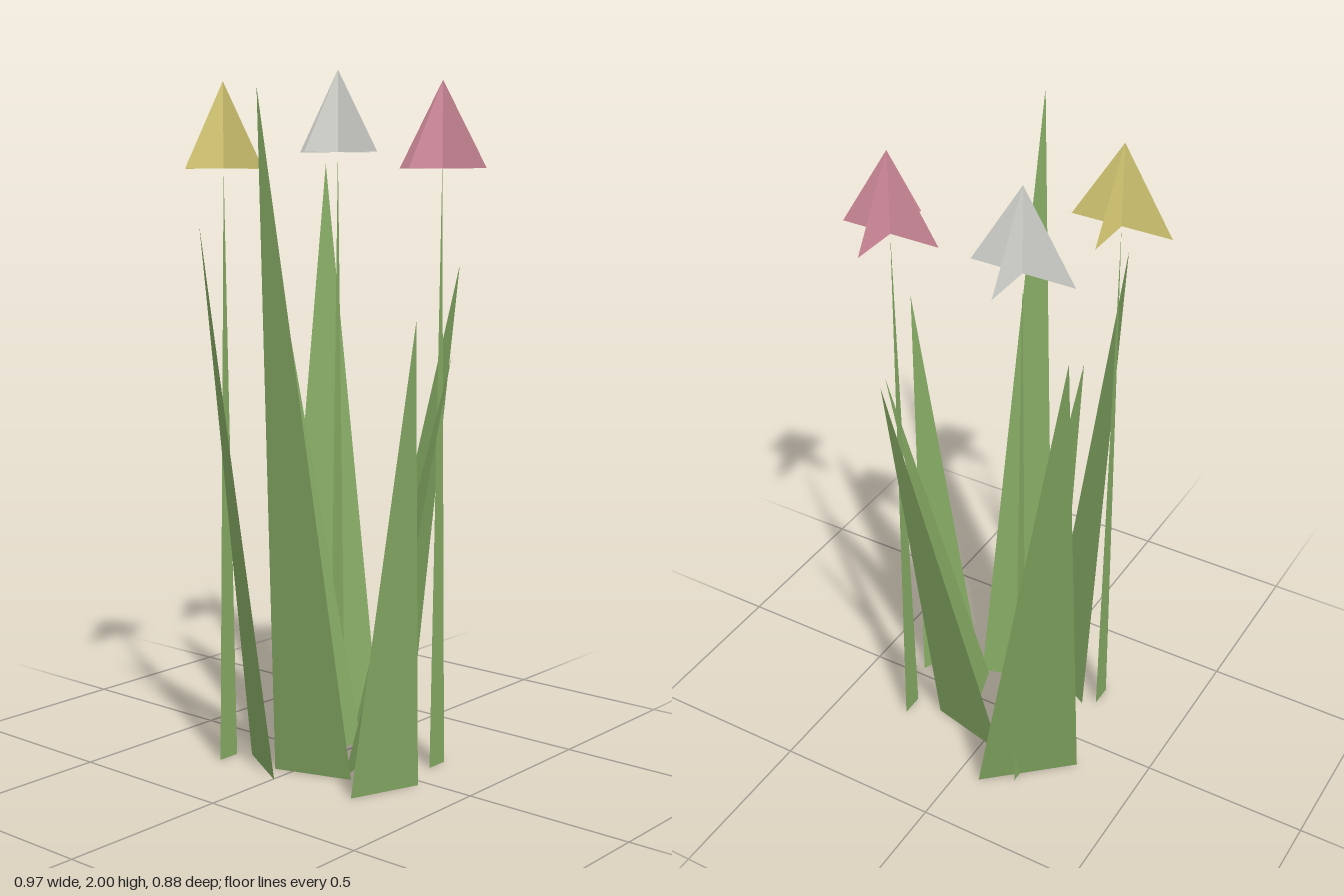
import * as THREE from 'three';

const paint = (name, color) => {
  const m = new THREE.MeshStandardMaterial({ color, side: THREE.DoubleSide, flatShading: true });
  m.name = name;
  return m;
};

// One flat triangle from three corners
function triangle(name, a, b, c, material) {
  const geometry = new THREE.BufferGeometry();
  geometry.setAttribute('position', new THREE.Float32BufferAttribute([...a, ...b, ...c], 3));
  geometry.computeVertexNormals();
  const mesh = new THREE.Mesh(geometry, material);
  mesh.name = name;
  return mesh;
}

export function createModel() {
  const model = new THREE.Group();
  model.name = 'tulipClump';

  const green = paint('leafGreen', 0x83a762);
  const yellow = paint('petalYellow', 0xe4d67c);
  const pink = paint('petalPink', 0xe094a6);
  const white = paint('petalWhite', 0xe3e4de);

  // Leaning leaves: two ground corners [x, z] and a tip [x, y, z]
  const leaves = [
    [[0.10, -0.30], [0.307, -0.07], [0.483, 1.73, -0.44]],
    [[-0.15, -0.09], [0.147, -0.01], [0.057, 1.435, -0.26]],
    [[-0.145, -0.187], [-0.258, 0.005], [-0.345, 1.555, -0.182]],
    [[-0.19, -0.053], [-0.118, 0.171], [-0.484, 1.91, 0.165]],
    [[-0.117, 0.146], [0.133, 0.07], [0.083, 1.20, 0.36]],
    [[0.174, -0.066], [0.112, 0.19], [0.413, 1.43, 0.143]],
    [[-0.229, 0.263], [-0.028, 0.34], [-0.18, 1.315, 0.44]],
  ];
  for (const [p, q, tip] of leaves) {
    model.add(triangle('leaf', [p[0], 0, p[1]], [q[0], 0, q[1]], tip, green));
  }

  // Flowers: a tapering flat stem and two crossed upright petals
  const flowers = [
    [-0.205, 1.71, -0.224, yellow],
    [0.138, 1.71, 0.281, pink],
    [0.22, 1.76, -0.166, white],
  ];
  const petalHalf = 0.15, petalHeight = 0.24, stemHalf = 0.035;
  for (const [x, y, z, colour] of flowers) {
    const flower = new THREE.Group();
    flower.name = 'flower';
    flower.position.set(x, 0, z);
    flower.add(triangle('stem', [-stemHalf, 0, 0], [stemHalf, 0, 0], [0, y, 0], green));
    for (const turn of [0, Math.PI / 2]) {
      const petal = triangle('petal', [-petalHalf, y, 0], [petalHalf, y, 0], [0, y + petalHeight, 0], colour);
      petal.rotation.y = turn;
      flower.add(petal);
    }
    model.add(flower);
  }
  return model;
}
